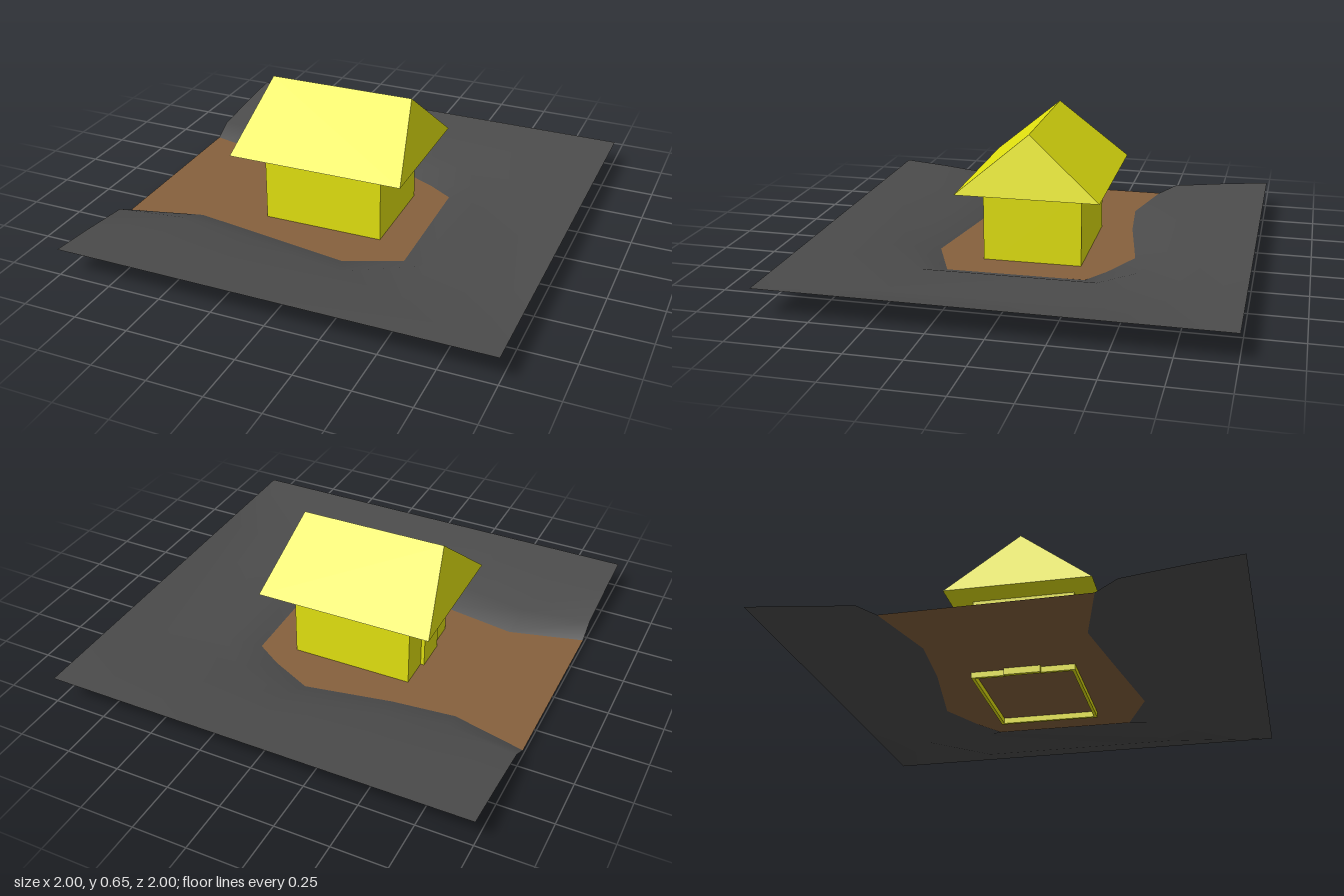
import * as THREE from 'three';
import { ConvexGeometry } from 'three/addons/geometries/ConvexGeometry.js';

const material = (name, color, side = THREE.FrontSide) => {
  const m = new THREE.MeshStandardMaterial({ color, side });
  m.name = name;
  return m;
};

const addMesh = (parent, name, geometry, mat) => {
  const mesh = new THREE.Mesh(geometry, mat);
  mesh.name = name;
  parent.add(mesh);
  return mesh;
};

export function createModel() {
  const group = new THREE.Group();
  group.name = 'hutOnGround';
  const yellow = material('yellow', 0xe3e310);
  const grey = material('grey', 0x4c4c4c, THREE.DoubleSide);
  const brown = material('brown', 0x86613d, THREE.DoubleSide);

  // Ground contours as [x, y, z], running from the back left round to the front left
  const contour = (y, points) => points.map(([x, z, h = y]) => [x, h, z]);
  const rows = [
    contour(0.03, [[-1, -0.43], [-0.66, -0.35], [-0.37, -0.38], [0.03, -0.455], [0.23, -0.36], [0.355, -0.28],
      [0.365, 0.35], [0.11, 0.46], [-0.3, 0.395], [-0.66, 0.34], [-1, 0.43]]),
    contour(0.08, [[-1, -0.52], [-0.68, -0.48], [-0.4, -0.52], [0.05, -0.6], [0.34, -0.52], [0.5, -0.36],
      [0.51, 0.42], [0.18, 0.61], [-0.3, 0.53], [-0.68, 0.47], [-1, 0.52]]),
    contour(0.108, [[-1, -0.78], [-0.68, -0.77], [-0.4, -0.78], [0.05, -0.8], [0.6, -0.75], [0.79, -0.45, 0.08],
      [0.79, 0.5, 0.08], [0.5, 0.78], [-0.3, 0.79], [-0.68, 0.77], [-1, 0.78]]),
    contour(0.127, [[-1, -1], [-0.68, -1], [-0.4, -1], [0.05, -1], [1, -1], [1, -0.5],
      [1, 0.5], [1, 1], [-0.3, 1], [-0.68, 1], [-1, 1]]),
  ];
  const n = rows[0].length;
  const index = [];
  for (let r = 0; r < rows.length - 1; r++) {
    for (let i = 0; i < n - 1; i++) {
      const a = r * n + i, b = a + n;
      index.push(a, a + 1, b + 1, a, b + 1, b);
    }
  }
  const bank = new THREE.BufferGeometry();
  bank.setAttribute('position', new THREE.Float32BufferAttribute(rows.flat(2), 3));
  bank.setIndex(index);
  bank.computeVertexNormals();
  addMesh(group, 'groundBanks', bank, grey);

  // Flat dirt yard and path inside the lowest contour
  const yard = new THREE.Shape(rows[0].map(([x, , z]) => new THREE.Vector2(x, -z)));
  const dirt = addMesh(group, 'dirtYard', new THREE.ShapeGeometry(yard).rotateX(-Math.PI / 2), brown);
  dirt.position.y = 0.03;

  // Hut, turned very slightly on its plot
  const hut = new THREE.Group();
  hut.name = 'hut';
  hut.position.x = -0.09;
  hut.rotation.y = 0.012;
  group.add(hut);
  const box = (name, x0, x1, y0, y1, z0, z1) =>
    addMesh(hut, name, new THREE.BoxGeometry(x1 - x0, y1 - y0, z1 - z0), yellow)
      .position.set((x0 + x1) / 2, (y0 + y1) / 2, (z0 + z1) / 2);

  // Thin walls, with a doorway on the path side
  const W = 0.285, D = 0.228, H = 0.372, T = 0.014, door = 0.075;
  box('frontWall', -W, W, 0.004, H, D - T, D);
  box('backWall', -W, W, 0.004, H, -D, -D + T);
  box('leftWall', W - T, W, 0.004, H, -D + T, D - T);
  box('doorWallFront', -W, -W + T, 0.004, H, door, D - T);
  box('doorWallBack', -W, -W + T, 0.004, H, -D + T, -door);
  box('doorLintel', -W, -W + T, 0.225, H, -door, door);
  box('door', -W - 0.017, -W, 0, 0.23, -door - 0.005, door + 0.005);

  // Roof with overhanging eaves and steeply hipped ends
  const roof = [];
  for (const s of [-1, 1]) {
    roof.push(new THREE.Vector3(s * 0.343, 0.65, 0));
    for (const t of [-1, 1]) roof.push(new THREE.Vector3(s * 0.415, 0.372, t * 0.33));
  }
  addMesh(hut, 'roof', new ConvexGeometry(roof), yellow);

  return group;
}
